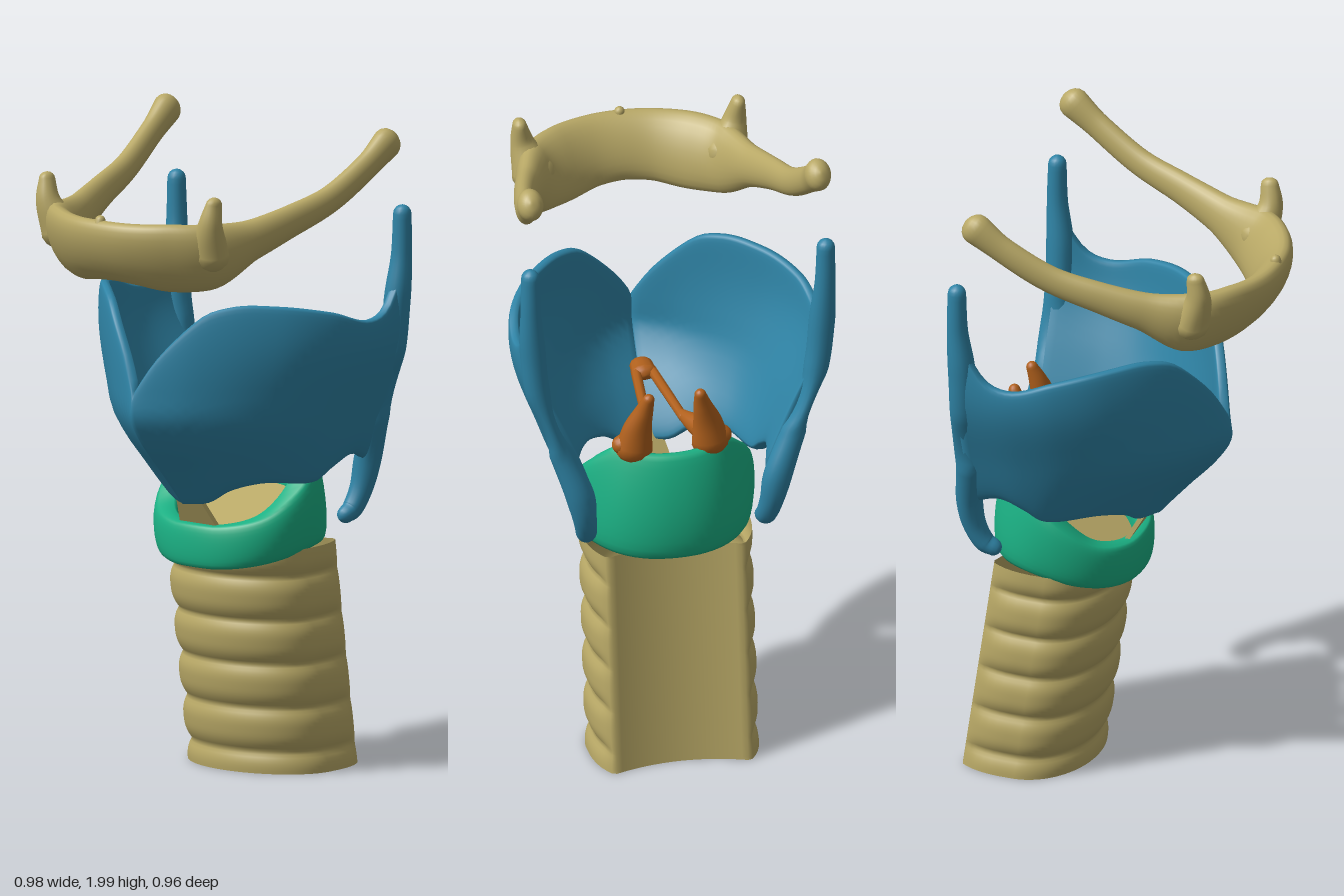
import * as THREE from 'three';

const V = (x, y, z) => new THREE.Vector3(x, y, z);
const mat = (color) => new THREE.MeshStandardMaterial({ color, roughness: 0.7, side: THREE.DoubleSide });
const bone = mat(0xb8a866), blue = mat(0x2f84a6), green = mat(0x1bb184), orange = mat(0xb0601c);

// Smooth function through [x, y] pairs, held constant outside the range
function curve(pairs) {
  const xs = pairs.map((p) => p[0]);
  const c = new THREE.CubicInterpolant(xs, pairs.map((p) => p[1]), 1);
  return (x) => c.evaluate(THREE.MathUtils.clamp(x, xs[0], xs[xs.length - 1]))[0];
}

// Skin closed rings of points; loop joins last ring to first, cap closes the ends
function loft(rings, { loop = false, cap = false } = {}) {
  const n = rings[0].length, pts = rings.flat(), idx = [];
  const last = loop ? rings.length : rings.length - 1;
  for (let i = 0; i < last; i++) {
    for (let j = 0; j < n; j++) {
      const a = i * n + j, b = i * n + (j + 1) % n, o = ((i + 1) % rings.length) * n;
      const c = o + j, d = o + (j + 1) % n;
      idx.push(a, b, c, b, d, c);
    }
  }
  if (cap) {
    [0, rings.length - 1].forEach((r, e) => {
      const mid = rings[r].reduce((s, p) => s.add(p), V(0, 0, 0)).divideScalar(n);
      pts.push(mid);
      for (let j = 0; j < n; j++) {
        const a = r * n + j, b = r * n + (j + 1) % n;
        idx.push(...(e ? [a, b, pts.length - 1] : [b, a, pts.length - 1]));
      }
    });
  }
  // Turn the faces outward if the enclosed volume comes out negative
  let vol = 0;
  for (let i = 0; i < idx.length; i += 3) {
    vol += pts[idx[i]].dot(pts[idx[i + 1]].clone().cross(pts[idx[i + 2]]));
  }
  if (vol < 0) idx.reverse();
  const g = new THREE.BufferGeometry().setFromPoints(pts);
  g.setIndex(idx);
  g.computeVertexNormals();
  return g;
}

// Round-ended tube; each point is [x, y, z, half width, half height]
function limb(points, up, steps = 40, sides = 16) {
  const path = new THREE.CatmullRomCurve3(points.map((p) => V(p[0], p[1], p[2])));
  const size = new THREE.CatmullRomCurve3(points.map((p) => V(p[3], p[4] ?? p[3], 0)));
  const rings = [];
  const ring = (t, k, shift) => {
    const T = path.getTangent(t), S = T.clone().cross(up).normalize(), U = S.clone().cross(T);
    const s = size.getPoint(t), c = path.getPoint(t).addScaledVector(T, shift * Math.min(s.x, s.y));
    rings.push(Array.from({ length: sides }, (_, j) => {
      const a = (j / sides) * Math.PI * 2;
      return c.clone().addScaledVector(S, s.x * k * Math.cos(a)).addScaledVector(U, s.y * k * Math.sin(a));
    }));
  };
  const ends = [1.45, 1.1, 0.75, 0.4];
  ends.forEach((a) => ring(0, Math.cos(a), -Math.sin(a)));
  for (let i = 0; i <= steps; i++) ring(i / steps, 1, 0);
  ends.reverse().forEach((a) => ring(1, Math.cos(a), Math.sin(a)));
  return loft(rings, { cap: true });
}
const flip = (pts, s) => pts.map(([x, ...r]) => [x * s, ...r]);

// Windpipe: leaning ringed tube with a flat, slightly hollow back
function trachea() {
  const rings = [], rows = 72, top = 0.7;
  for (let i = 0; i <= rows; i++) {
    const y = (top * i) / rows, zc = -0.3 + 0.145 * y;
    const groove = -0.02 * (1 - Math.abs(Math.sin((Math.PI * (y - 0.065)) / 0.137))) ** 1.5;
    rings.push(Array.from({ length: 64 }, (_, j) => {
      const a = (j / 64) * Math.PI * 2, s = Math.sin(a), c = Math.cos(a);
      const w = groove * THREE.MathUtils.smoothstep(c, -0.65, -0.35);
      const z = c > 0 ? (0.19 + w) * c
        : -0.185 * Math.min(1, -c * 1.7) ** 0.75 + (c < -0.6 ? 0.04 * (1 - (s / 0.8) ** 2) : 0);
      return V((0.262 + w) * s, y, zc + z);
    }));
  }
  return loft(rings);
}

// Signet ring: low arch in front, tall plate behind that narrows upward
function cricoid() {
  const topY = curve([[-0.43, 1.03], [-0.36, 1.04], [-0.28, 0.99], [-0.2, 0.92], [-0.12, 0.86], [-0.05, 0.81], [0.03, 0.775]]);
  const botY = curve([[-0.43, 0.69], [-0.3, 0.7], [-0.2, 0.69], [-0.1, 0.67], [0.03, 0.64]]);
  const rings = [];
  for (let i = 0; i < 72; i++) {
    const a = (i / 72) * Math.PI * 2, s = Math.sin(a), c = Math.cos(a);
    const back = THREE.MathUtils.smoothstep(-c, -0.1, 0.7), ring = [];
    const zo = -0.2 + 0.238 * Math.sign(c) * Math.abs(c) ** 0.9;
    const xo = 0.285 * Math.sign(s) * Math.abs(s) ** 0.95;
    for (let j = 0; j < 28; j++) {
      const b = (j / 28) * Math.PI * 2, v = 0.5 - 0.5 * Math.cos(b);
      const w = 0.5 + 0.5 * Math.sign(Math.sin(b)) * Math.abs(Math.sin(b)) ** 0.4;
      const out = V(xo * (1 - 0.24 * back * v - 0.05 * (1 - v) ** 2), 0,
        -0.2 + (zo + 0.2) * (1 - 0.22 * back * v * v));
      const p = V(0.19 * s, 0, -0.18 + 0.16 * c).lerp(out, w);
      p.y = THREE.MathUtils.lerp(botY(zo), topY(zo), v);
      ring.push(p);
    }
    rings.push(ring);
  }
  return loft(rings, { loop: true });
}

// Shield: two plates meeting in a notched prow, narrowing downward
function shield() {
  const prow = curve([[0.75, 0.05], [0.84, 0.085], [0.95, 0.17], [1.05, 0.26], [1.13, 0.31], [1.2, 0.313], [1.6, 0.305]]);
  const spread = curve([[0, 0], [0.125, 0.17], [0.36, 0.365], [0.56, 0.455], [0.74, 0.484], [1, 0.475]]);
  const scale = curve([[0.75, 0.58], [0.9, 0.68], [1.12, 0.83], [1.35, 0.99], [1.6, 1]]);
  const topY = curve([[0, 1.2], [0.055, 1.33], [0.14, 1.45], [0.22, 1.485], [0.35, 1.487], [0.57, 1.46], [0.78, 1.42], [0.89, 1.45], [1, 1.57]]);
  const botY = curve([[0, 0.835], [0.08, 0.84], [0.17, 0.88], [0.3, 0.905], [0.6, 0.905], [0.7, 0.94], [0.85, 0.975], [1, 0.94]]);
  const P = (a, y) => V(scale(y) * spread(a), y, THREE.MathUtils.lerp(prow(y), -0.41, a));
  const rings = [], N = 40;
  for (let i = -N; i <= N; i++) {
    const a = (Math.abs(i) / N) ** 1.3, ring = [];
    for (let j = 0; j < 48; j++) {
      const b = (j / 48) * Math.PI * 2, sb = Math.sin(b), v = 0.5 - 0.5 * Math.cos(b);
      const y = THREE.MathUtils.lerp(botY(a), topY(a), v);
      const p = P(a, y), e = 0.004, thick = 0.045 + 0.045 * a * (1 - v) ** 2;
      const n = P(a + e, y).sub(P(Math.max(0, a - e), y)).cross(P(a, y + e).sub(P(a, y - e))).normalize();
      if ((a < 0.5 ? n.z : n.x) < 0) n.negate();
      if (i === 0) n.set(0, n.y, n.z).normalize();
      p.addScaledVector(n, -thick * (0.5 - 0.5 * Math.sign(sb) * Math.abs(sb) ** 0.35));
      p.x = Math.max(0, p.x) * Math.sign(i);
      ring.push(p);
    }
    rings.push(ring);
  }
  return loft(rings, { cap: true });
}

export function createModel() {
  const model = new THREE.Group();
  const add = (name, geometry, material) => {
    const m = new THREE.Mesh(geometry, material);
    m.name = name;
    model.add(m);
    return m;
  };
  add('windpipe', trachea(), bone);
  add('ringCartilage', cricoid(), green);
  add('shieldPlates', shield(), blue);

  // Sloping floor inside the ring, rising to the rear
  const floor = add('windpipeTop', new THREE.CircleGeometry(1, 48).rotateX(-Math.PI / 2).scale(0.2, 1, 0.185), bone);
  floor.position.set(0, 0.775, -0.18);
  floor.rotation.x = 0.45;

  // Horseshoe bone, one sweep from tip to tip
  const half = [[0.1, 1.665, 0.402, 0.048, 0.11], [0.2, 1.66, 0.355, 0.05, 0.118], [0.29, 1.665, 0.28, 0.052, 0.11],
    [0.345, 1.705, 0.15, 0.04, 0.066], [0.382, 1.748, 0.02, 0.034, 0.052], [0.412, 1.8, -0.13, 0.031, 0.044],
    [0.436, 1.885, -0.27, 0.031, 0.042], [0.445, 1.948, -0.355, 0.04, 0.05]];
  const arch = [...flip(half, -1).reverse(), [0, 1.668, 0.415, 0.048, 0.107], ...half];
  add('horseshoeBone', limb(arch, V(0, 1, 0.5), 110, 24), bone);
  add('horseshoeRidge', limb([[0, 1.66, 0.445, 0.015], [0, 1.72, 0.46, 0.018], [0, 1.765, 0.45, 0.016]], V(0, 0, 1), 12), bone);

  for (const s of [1, -1]) {
    const side = s > 0 ? 'left' : 'right';
    add(side + 'LesserHorn', limb(flip([[0.3, 1.68, 0.29, 0.068, 0.058], [0.328, 1.77, 0.318, 0.038],
      [0.338, 1.835, 0.312, 0.022, 0.028]], s), V(0, 0, 1), 16), bone);

    // Rear border of the shield with its upper and lower horns
    add(side + 'ShieldHorns', limb(flip([[0.457, 1.725, -0.412, 0.028], [0.455, 1.6, -0.411, 0.032],
      [0.447, 1.46, -0.4, 0.04, 0.042], [0.428, 1.3, -0.4, 0.038, 0.042], [0.36, 1.1, -0.405, 0.038, 0.042],
      [0.305, 0.95, -0.425, 0.044, 0.04], [0.288, 0.86, -0.415, 0.036], [0.278, 0.8, -0.385, 0.032],
      [0.275, 0.785, -0.36, 0.027]], s), V(0, 0, 1), 60), blue);

    // Small pyramid cartilage: upright body, outer spur, forward spur
    add(side + 'Pyramid', limb(flip([[0.118, 1.04, -0.325, 0.058, 0.045], [0.108, 1.11, -0.33, 0.045, 0.038],
      [0.09, 1.18, -0.345, 0.028], [0.08, 1.225, -0.36, 0.018]], s), V(0, 0, 1), 20), orange);
    add(side + 'PyramidOuterSpur', limb(flip([[0.11, 1.07, -0.32, 0.04], [0.155, 1.055, -0.32, 0.03]], s), V(0, 1, 0), 10), orange);
    add(side + 'PyramidFrontSpur', limb(flip([[0.11, 1.07, -0.31, 0.045], [0.08, 1.07, -0.26, 0.03],
      [0.055, 1.07, -0.2, 0.015]], s), V(0, 1, 0), 14), orange);

    // Vocal cord
    add(side + 'VocalCord', limb(flip([[0.056, 1.07, -0.22, 0.015], [0.025, 1.06, 0.09, 0.016]], s), V(0, 1, 0), 6, 8), orange);
  }
  add('cordAnchor', limb([[0, 1.06, 0.085, 0.04, 0.025], [0, 1.06, 0.13, 0.036, 0.025]], V(0, 1, 0), 6, 12), orange);

  // Tapered front band between ring and shield
  const band = new THREE.Shape([[-0.08, 0], [0.08, 0], [0.035, 0.17], [-0.035, 0.17]].map((p) => new THREE.Vector2(...p)));
  const m = add('frontBand', new THREE.ExtrudeGeometry(band, { depth: 0.014, bevelEnabled: false }), bone);
  m.position.set(0, 0.755, -0.02);
  m.rotation.x = 0.5;
  return model;
}
